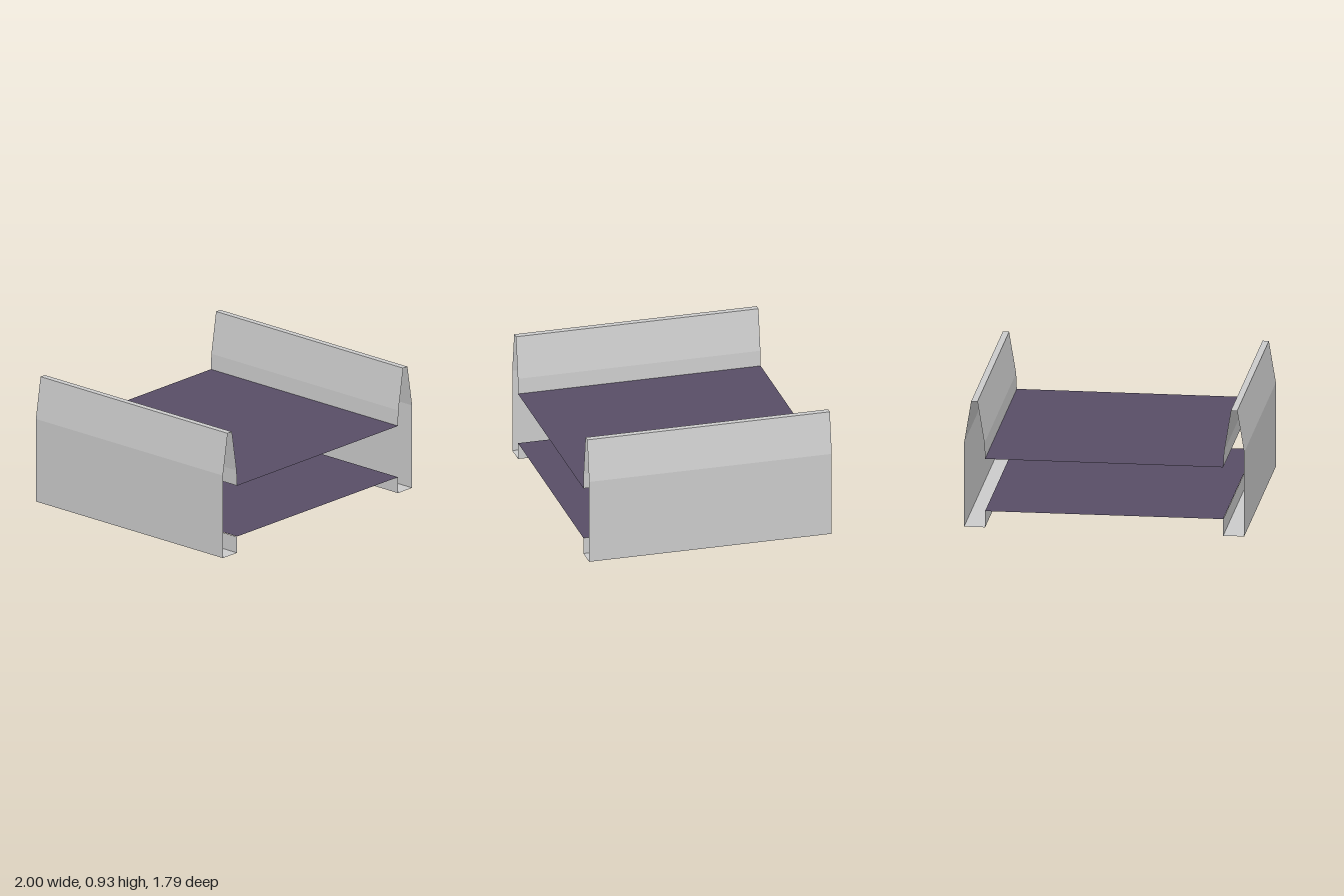
import * as THREE from 'three';

const HALF_LENGTH = 0.893;
const railMaterial = new THREE.MeshStandardMaterial({ color: 0xcccccc, side: THREE.DoubleSide });
const deckMaterial = new THREE.MeshStandardMaterial({ color: 0x584e66, side: THREE.DoubleSide });

// Open thin sheet: a profile in x/y swept along z, outside on the right of its path
function sheet(name, profile, material) {
  const positions = [];
  const indices = [];
  profile.forEach(([x, y], i) => {
    positions.push(x, y, HALF_LENGTH, x, y, -HALF_LENGTH);
    if (i === 0) return;
    const a = 2 * i - 2, b = 2 * i;
    indices.push(a, a + 1, b + 1, a, b + 1, b);
  });
  const indexed = new THREE.BufferGeometry();
  indexed.setAttribute('position', new THREE.Float32BufferAttribute(positions, 3));
  indexed.setIndex(indices);
  const geometry = indexed.toNonIndexed();
  geometry.computeVertexNormals();
  const mesh = new THREE.Mesh(geometry, material);
  mesh.name = name;
  return mesh;
}

export function createModel() {
  const model = new THREE.Group();
  model.name = 'openChannel';

  // Side rail: foot, outer wall, tapered crest and inner wall
  const rail = [
    [0.85, 0.12], [0.85, 0], [1, 0], [1, 0.62],
    [0.95, 0.925], [0.905, 0.925], [0.855, 0.62], [0.85, 0.505],
  ];
  const mirrored = rail.map(([x, y]) => [-x, y]).reverse();
  model.add(sheet('leftRail', rail, railMaterial));
  model.add(sheet('rightRail', mirrored, railMaterial));

  // Decks joining the inner edges of the rails
  model.add(sheet('upperDeck', [[0.85, 0.505], [-0.85, 0.505]], deckMaterial));
  model.add(sheet('lowerDeck', [[-0.85, 0.123], [0.85, 0.12]], deckMaterial));

  return model;
}
